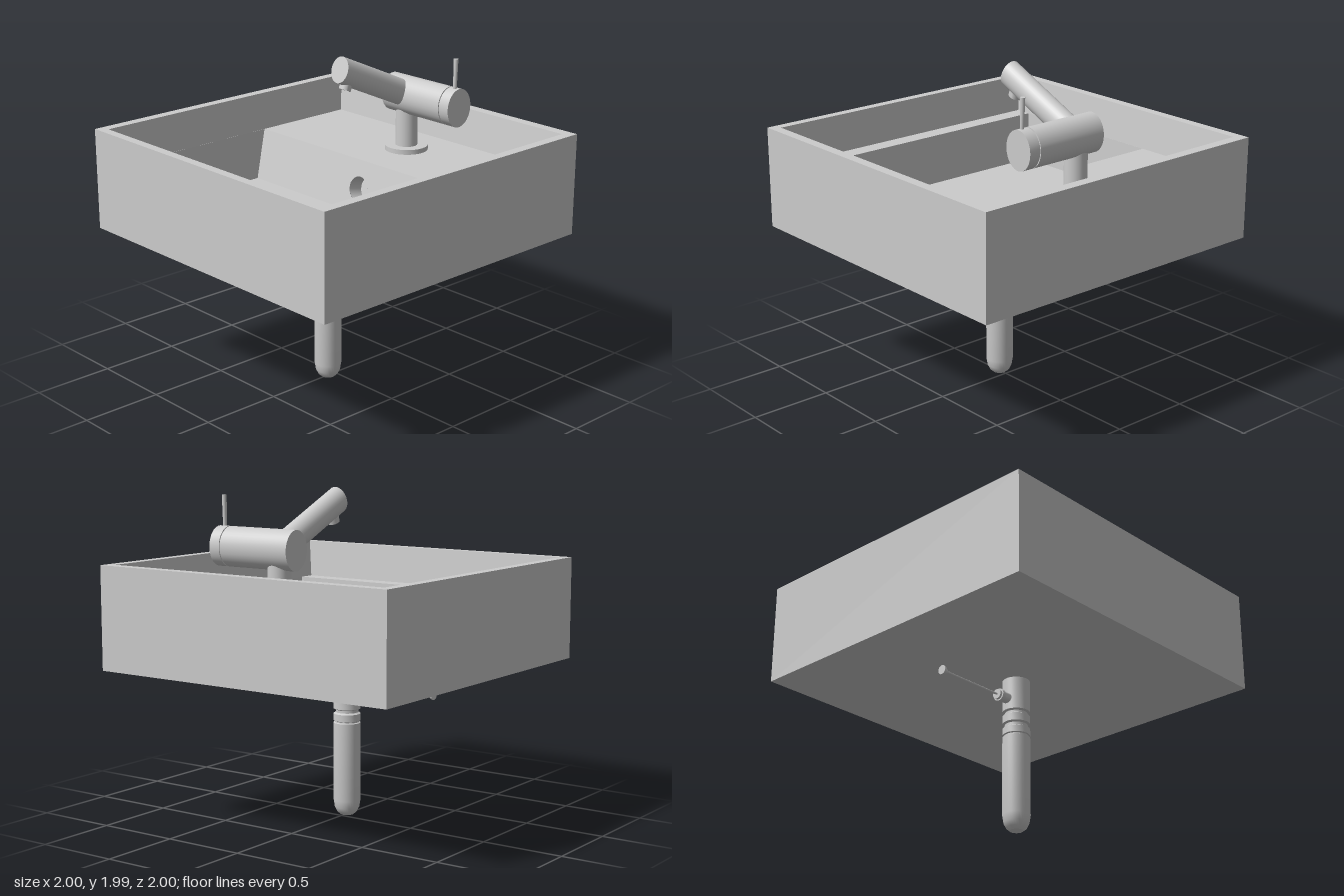
import * as THREE from 'three';
import { toCreasedNormals } from 'three/addons/utils/BufferGeometryUtils.js';

const grey = new THREE.MeshStandardMaterial({ color: 0xcccccc });
const greyBoth = new THREE.MeshStandardMaterial({ color: 0xcccccc, side: THREE.DoubleSide });

function add(parent, name, geometry, position = [0, 0, 0], material = grey) {
  const mesh = new THREE.Mesh(geometry, material);
  mesh.name = name;
  mesh.position.set(...position);
  parent.add(mesh);
  return mesh;
}

// Turned part from [radius, height] pairs, with sharp edges kept
function turned(profile, segments = 32) {
  const points = profile.map(([r, y]) => new THREE.Vector2(r, y));
  return toCreasedNormals(new THREE.LatheGeometry(points, segments), 0.6);
}

// Shell of the basin: rectangular rings joined from the outer bottom, over the rim, to the floor
function basinShell() {
  const rings = [ // half width, back z, front z, y
    [1, -1, 1, 0.94],
    [1, -1, 1, 1.56],
    [0.94, -0.935, 0.945, 1.56],
    [0.914, -0.905, 0.925, 1.33],
    [0.913, -0.235, 0.82, 1.33],
    [0.9, -0.16, 0.81, 1.02],
  ].map(([w, back, front, y]) => [[-w, y, front], [w, y, front], [w, y, back], [-w, y, back]]);
  const positions = [];
  const quad = (a, b, c, d) => positions.push(...a, ...b, ...c, ...a, ...c, ...d);
  for (let r = 0; r < rings.length - 1; r++) {
    for (let i = 0; i < 4; i++) {
      if (r === 4 && i === 2) continue; // the step with the overflow hole is its own part
      const j = (i + 1) % 4;
      quad(rings[r][i], rings[r][j], rings[r + 1][j], rings[r + 1][i]);
    }
  }
  quad(...rings[5]);
  quad(...[...rings[0]].reverse());
  const geometry = new THREE.BufferGeometry();
  geometry.setAttribute('position', new THREE.Float32BufferAttribute(positions, 3));
  geometry.computeVertexNormals();
  return geometry;
}

function createBasin() {
  const basin = new THREE.Group();
  basin.name = 'basin';
  add(basin, 'basinShell', basinShell());

  // Sloping step with a round overflow opening
  const step = new THREE.Group();
  step.name = 'overflowStep';
  step.position.set(0, 1.02, -0.16);
  step.rotation.x = -Math.atan2(0.075, 0.31);
  const length = Math.hypot(0.075, 0.31);
  const face = new THREE.Shape([[-0.9, 0], [0.9, 0], [0.913, length], [-0.913, length]]
    .map(([x, y]) => new THREE.Vector2(x, y)));
  face.holes.push(new THREE.Path().absarc(0, 0.145, 0.075, 0, Math.PI * 2, true));
  add(step, 'stepFace', new THREE.ShapeGeometry(face, 24));
  const bore = new THREE.CylinderGeometry(0.075, 0.075, 0.1, 32, 1, true).rotateX(Math.PI / 2);
  add(step, 'overflowBore', bore, [0, 0.145, -0.05], greyBoth);
  add(step, 'overflowBack', new THREE.CircleGeometry(0.075, 32), [0, 0.145, -0.1]);
  basin.add(step);

  // Slightly domed drain plug
  add(basin, 'drainPlug', turned([[0.098, 0], [0.098, 0.012], [0.06, 0.02], [0, 0.024]]), [0, 1.02, 0.05]);
  return basin;
}

function createWaste() {
  const waste = new THREE.Group();
  waste.name = 'waste';
  waste.position.z = 0.057;
  add(waste, 'wastePipe', turned([
    [0, 0.008], [0.04, 0.008], [0.06, 0.025], [0.075, 0.055], [0.082, 0.1],
    [0.082, 0.578], [0.074, 0.582], [0.074, 0.588], [0.082, 0.592], [0.082, 0.634],
    [0.068, 0.642], [0.068, 0.658], [0.082, 0.665], [0.082, 0.712],
    [0.068, 0.72], [0.068, 0.733], [0.082, 0.74], [0.082, 0.95],
  ]));

  // Plug linkage along -x: nut, collar, thin rod and flared knob
  const linkage = turned([
    [0.032, 0.07], [0.032, 0.13], [0.038, 0.13], [0.038, 0.152], [0.03, 0.152], [0.03, 0.167],
    [0.006, 0.167], [0.006, 0.57], [0.028, 0.612], [0.028, 0.62], [0, 0.62],
  ], 20).rotateZ(Math.PI / 2);
  add(waste, 'plugLinkage', linkage, [0, 0.81, 0]);
  return waste;
}

function createTap() {
  // Local origin is the centre of the body; the whole tap is stretched upward
  const tap = new THREE.Group();
  tap.name = 'tap';
  tap.position.set(0, 1.675, -0.6);
  tap.scale.y = 1.19;
  const deck = (1.33 - 1.675) / 1.19;

  add(tap, 'neck', turned([
    [0, deck], [0.132, deck], [0.132, deck + 0.025], [0.067, deck + 0.025], [0.067, 0],
  ]));

  // Body with a groove in front of the turning cap
  const body = turned([
    [0, -0.43], [0.098, -0.43], [0.098, -0.36], [0.092, -0.36], [0.092, -0.352],
    [0.098, -0.352], [0.098, 0.12], [0, 0.12],
  ], 40).rotateZ(Math.PI / 2);
  add(tap, 'body', body);

  // Lever on the turning cap
  add(tap, 'lever', new THREE.CylinderGeometry(0.014, 0.011, 0.165, 16), [0.398, 0.164, 0.004])
    .rotation.x = -0.03;

  // Spout rising forward, with the outlet under its tip
  const spout = new THREE.Group();
  spout.name = 'spout';
  spout.rotation.x = Math.atan2(0.56, 0.21);
  const reach = Math.hypot(0.56, 0.21);
  add(spout, 'spoutTube', new THREE.CylinderGeometry(0.068, 0.068, reach, 32), [0, reach / 2, 0]);
  const outlet = turned([[0.036, 0], [0.036, 0.088], [0.026, 0.088], [0.026, 0.075], [0, 0.075]], 24)
    .rotateX(Math.PI / 2);
  add(spout, 'outlet', outlet, [0, reach - 0.075, 0], greyBoth);
  tap.add(spout);
  return tap;
}

export function createModel() {
  const model = new THREE.Group();
  model.name = 'washbasin';
  model.add(createBasin(), createWaste(), createTap());
  return model;
}
